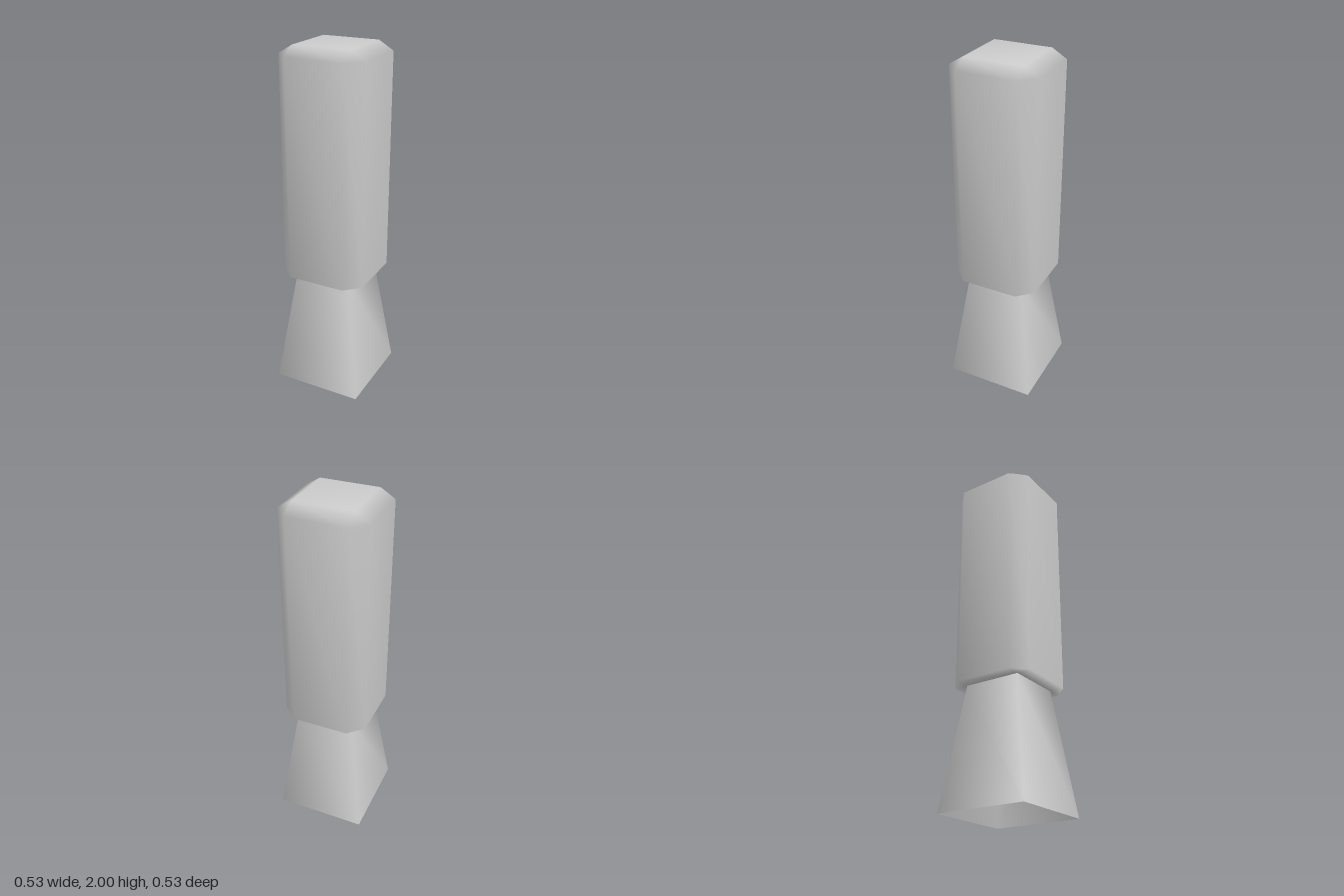
import * as THREE from 'three';
import { mergeVertices } from 'three/addons/utils/BufferGeometryUtils.js';

// Eight points around a square of half-width `half`; flats end at `flat` (flat === half gives a plain square)
function ring(y, half, flat) {
  return [
    [half, flat], [flat, half], [-flat, half], [-half, flat],
    [-half, -flat], [-flat, -half], [flat, -half], [half, -flat],
  ].map(([x, z]) => new THREE.Vector3(x, y, z));
}

// Skins rings from bottom to top with smooth shared normals
function loft(rings, capTop) {
  const tris = [];
  const add = (a, b, c) => {
    const area = b.clone().sub(a).cross(c.clone().sub(a)).length();
    if (area > 1e-8) tris.push(a, b, c);
  };
  for (let r = 0; r < rings.length - 1; r++) {
    const lo = rings[r], hi = rings[r + 1];
    for (let i = 0; i < 8; i++) {
      const j = (i + 1) % 8;
      add(lo[i], hi[i], hi[j]);
      add(lo[i], hi[j], lo[j]);
    }
  }
  if (capTop) {
    const top = rings[rings.length - 1];
    for (let i = 1; i < 7; i++) add(top[0], top[i + 1], top[i]);
  }
  const geometry = mergeVertices(new THREE.BufferGeometry().setFromPoints(tris));
  geometry.computeVertexNormals();
  return geometry;
}

export function createModel() {
  const group = new THREE.Group();
  const grey = new THREE.MeshStandardMaterial({ color: 0xcccccc, side: THREE.DoubleSide });
  grey.name = 'plain grey';

  // Flared square foot, open underneath
  const foot = new THREE.Mesh(loft([ring(0, 0.263, 0.263), ring(0.7, 0.166, 0.166)], false), grey);
  foot.name = 'flaredFoot';

  // Chamfered block: overhanging underside, upright sides, bevelled top
  const block = new THREE.Mesh(loft([
    ring(0.7, 0.166, 0.166),
    ring(0.7, 0.25, 0.166),
    ring(1.95, 0.25, 0.166),
    ring(2, 0.166, 0.166),
  ], true), grey);
  block.name = 'chamferedBlock';

  group.add(foot, block);
  return group;
}
